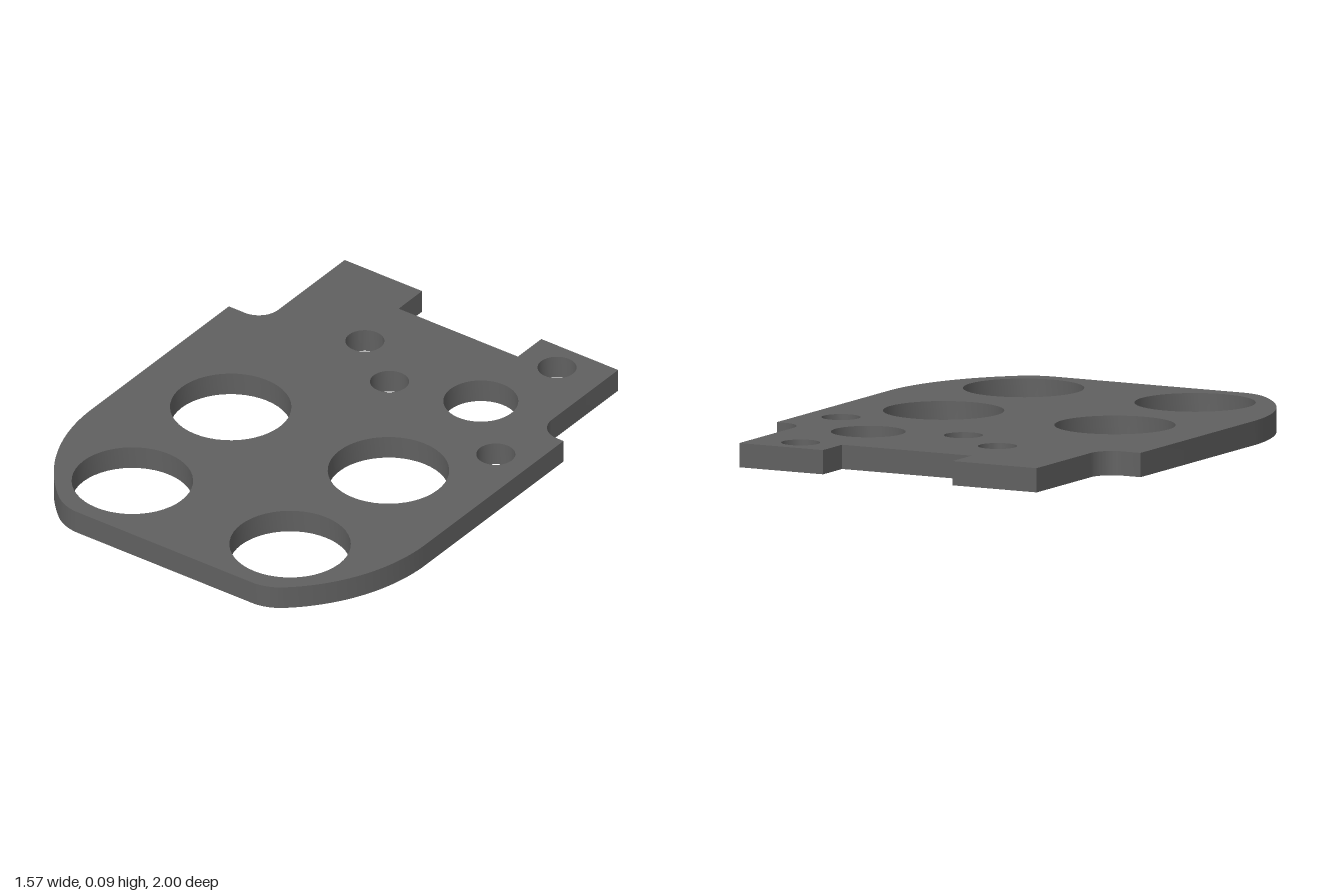
import * as THREE from 'three';
import { toCreasedNormals } from 'three/addons/utils/BufferGeometryUtils.js';

const THICKNESS = 0.093;

// Plate outline, drawn flat with the shape's +y towards the back (-z)
function plateOutline() {
  const halfWidth = 0.785, shoulder = 0.483, fillet = 0.09;
  const tabLeft = -0.62, tabRight = 0.663;
  const sideRadius = 0.73, sideStart = -0.4, a = THREE.MathUtils.degToRad(49.5);

  // Corner arc is tangent to the side arc and to the front edge at y = -1
  const joinX = halfWidth - sideRadius * (1 - Math.cos(a));
  const joinY = sideStart - sideRadius * Math.sin(a);
  const cornerRadius = (1 + joinY) / (1 - Math.sin(a));
  const cornerX = joinX - cornerRadius * Math.cos(a);
  const cornerY = -1 + cornerRadius;

  const s = new THREE.Shape();
  // Front edge and curved right-hand side
  s.moveTo(-cornerX, -1);
  s.lineTo(cornerX, -1);
  s.absarc(cornerX, cornerY, cornerRadius, -Math.PI / 2, -a, false);
  s.absarc(halfWidth - sideRadius, sideStart, sideRadius, -a, 0, false);
  // Shoulder with concave fillet
  s.lineTo(halfWidth, shoulder);
  s.absarc(tabRight + fillet, shoulder + fillet, fillet, -Math.PI / 2, -Math.PI, true);
  // Rear tabs and the notch between them
  s.lineTo(tabRight, 1);
  s.lineTo(0.302, 1);
  s.lineTo(0.302, 0.85);
  s.lineTo(-0.257, 0.85);
  s.lineTo(-0.257, 1);
  s.lineTo(tabLeft, 1);
  // Opposite shoulder and curved side
  s.absarc(tabLeft - fillet, shoulder + fillet, fillet, 0, -Math.PI / 2, true);
  s.lineTo(-halfWidth, shoulder);
  s.absarc(sideRadius - halfWidth, sideStart, sideRadius, Math.PI, Math.PI + a, false);
  s.absarc(-cornerX, cornerY, cornerRadius, Math.PI + a, Math.PI * 1.5, false);
  return s;
}

// Round through-holes: x, z, radius
const HOLES = [
  [-0.37, 0.072, 0.23], [0.37, 0.072, 0.23],
  [-0.37, 0.702, 0.23], [0.37, 0.702, 0.23],
  [0.37, -0.52, 0.142],
  [0.466, -0.877, 0.074], [-0.229, -0.595, 0.074],
  [0.012, -0.424, 0.074], [0.632, -0.258, 0.074],
];

export function createModel() {
  const group = new THREE.Group();
  group.name = 'mountingPlate';

  const shape = plateOutline();
  for (const [x, z, r] of HOLES) {
    const hole = new THREE.Path();
    hole.absarc(x, -z, r, 0, Math.PI * 2, true);
    shape.holes.push(hole);
  }

  // Lay the extruded plate flat on the ground
  const geometry = new THREE.ExtrudeGeometry(shape, {
    depth: THICKNESS, bevelEnabled: false, curveSegments: 24,
  });
  geometry.rotateX(-Math.PI / 2);

  const plate = new THREE.Mesh(
    toCreasedNormals(geometry, Math.PI / 6),
    new THREE.MeshStandardMaterial({ color: 0x606060 }),
  );
  plate.name = 'plate';
  group.add(plate);
  return group;
}
